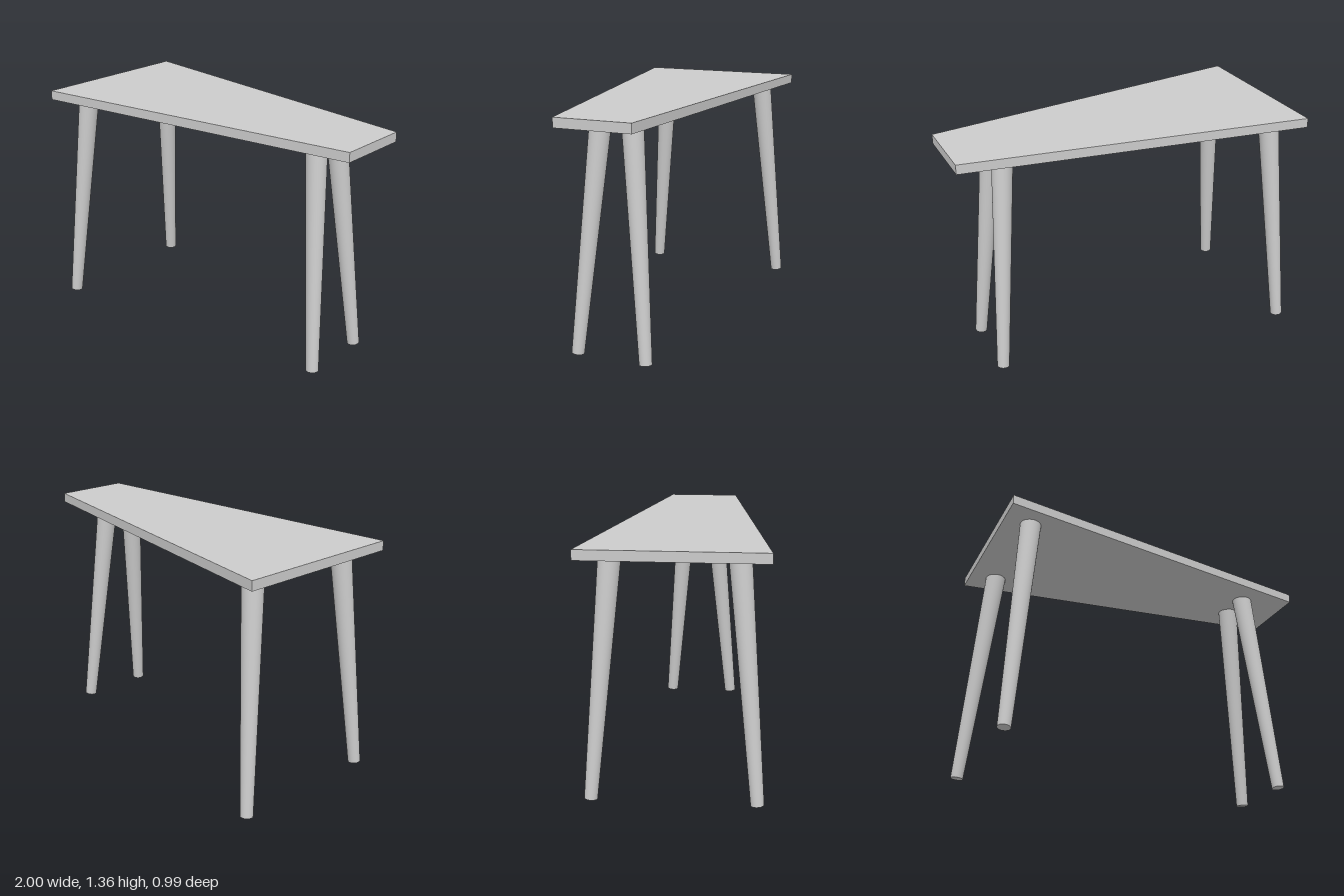
import * as THREE from 'three';

const material = new THREE.MeshStandardMaterial({ color: 0xcccccc });

// Round tapered leg between two points, cut square to its own axis
function makeLeg(name, foot, head) {
  const axis = head.clone().sub(foot);
  const leg = new THREE.Mesh(new THREE.CylinderGeometry(0.06, 0.036, axis.length(), 48), material);
  leg.name = name;
  leg.position.copy(foot).add(head).multiplyScalar(0.5);
  leg.quaternion.setFromUnitVectors(new THREE.Vector3(0, 1, 0), axis.normalize());
  return leg;
}

export function createModel() {
  const table = new THREE.Group();
  table.name = 'taperedTable';

  // Tabletop: trapezoid slab, wide at -x and narrow at +x
  const bottom = 1.305, thickness = 0.055;
  const outline = new THREE.Shape([
    new THREE.Vector2(-1, -0.494),
    new THREE.Vector2(1, -0.217),
    new THREE.Vector2(1, 0.217),
    new THREE.Vector2(-1, 0.494),
  ]);
  const slab = new THREE.ExtrudeGeometry(outline, { depth: thickness, bevelEnabled: false });
  slab.rotateX(-Math.PI / 2);
  const top = new THREE.Mesh(slab, material);
  top.name = 'tabletop';
  top.position.y = bottom;
  table.add(top);

  // Four splayed legs, mirrored front to back
  for (const [side, sign] of [['front', 1], ['back', -1]]) {
    table.add(
      makeLeg(side + 'WideEndLeg',
        new THREE.Vector3(-0.953, 0.005, sign * 0.443),
        new THREE.Vector3(-0.842, bottom + 0.006, sign * 0.331)),
      makeLeg(side + 'NarrowEndLeg',
        new THREE.Vector3(0.818, 0.005, sign * 0.204),
        new THREE.Vector3(0.706, bottom + 0.006, sign * 0.091)),
    );
  }
  return table;
}
